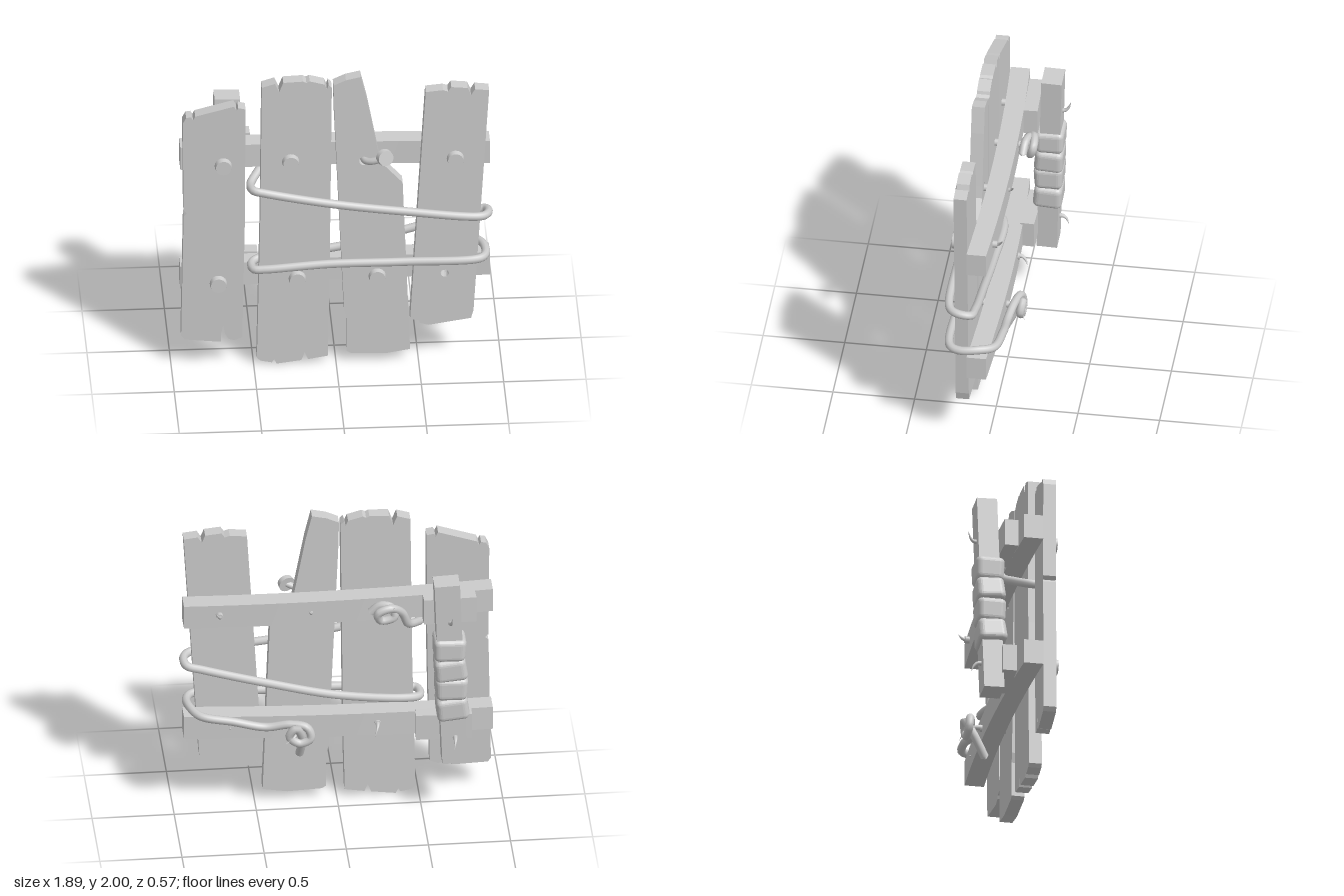
import * as THREE from 'three';
import { RoundedBoxGeometry } from 'three/addons/geometries/RoundedBoxGeometry.js';

const grey = new THREE.MeshStandardMaterial({ color: 0xcccccc, side: THREE.DoubleSide });
const V = (p) => new THREE.Vector3(...p);

function add(parent, name, geometry, position = [0, 0, 0], rotation = [0, 0, 0]) {
  const mesh = new THREE.Mesh(geometry, grey);
  mesh.name = name;
  mesh.position.set(...position);
  mesh.rotation.set(...rotation);
  parent.add(mesh);
  return mesh;
}

// Move every vertex of a geometry by a rule
function deform(geometry, rule) {
  const pos = geometry.attributes.position;
  const v = new THREE.Vector3();
  for (let i = 0; i < pos.count; i++) {
    rule(v.fromBufferAttribute(pos, i));
    pos.setXYZ(i, v.x, v.y, v.z);
  }
  geometry.computeVertexNormals();
  return geometry;
}

// Tube whose radius follows scale(t) along the path
function taperedTube(points, radius, segments, scale) {
  const curve = new THREE.CatmullRomCurve3(points.map(V), false, 'centripetal');
  const sides = 10;
  const geo = new THREE.TubeGeometry(curve, segments, radius, sides);
  const pos = geo.attributes.position;
  const v = new THREE.Vector3();
  for (let i = 0; i <= segments; i++) {
    const centre = curve.getPointAt(i / segments);
    for (let j = 0; j <= sides; j++) {
      const k = i * (sides + 1) + j;
      v.fromBufferAttribute(pos, k).sub(centre).multiplyScalar(scale(i / segments)).add(centre);
      pos.setXYZ(k, v.x, v.y, v.z);
    }
  }
  return geo;
}

// Board outlines with chipped ends, anticlockwise
const boards = [
  [[-0.94, 0.22], [-0.92, 0.195], [-0.72, 0.18], [-0.70, 0.18], [-0.70, 0.235], [-0.685, 0.29], [-0.675, 0.235],
    [-0.655, 0.2], [-0.62, 0.19], [-0.57, 0.21], [-0.555, 1.0], [-0.55, 1.81], [-0.595, 1.82], [-0.605, 1.8], [-0.62, 1.83],
    [-0.855, 1.76], [-0.868, 1.735], [-0.88, 1.755], [-0.91, 1.75], [-0.93, 1.71], [-0.925, 1.1], [-0.905, 1.08], [-0.925, 1.06]],
  [[-0.48, 0.05], [-0.46, 0.03], [-0.39, 0.015], [-0.375, 0.035], [-0.36, 0.005], [-0.21, 0.025], [-0.19, 0.08],
    [-0.17, 0.03], [-0.05, 0.05], [-0.04, 0.5], [-0.025, 1.93], [-0.045, 1.95], [-0.055, 1.92], [-0.07, 1.955],
    [-0.16, 1.98], [-0.18, 1.97], [-0.2, 1.98], [-0.32, 1.975], [-0.345, 1.91], [-0.37, 1.97], [-0.45, 1.945], [-0.46, 1.0]],
  [[0.065, 0.08], [0.09, 0.065], [0.3, 0.055], [0.45, 0.08], [0.405, 1.25], [0.27, 1.4], [0.255, 1.48], [0.19, 1.83],
    [0.15, 2.0], [0.06, 1.98], [-0.015, 1.945], [-0.01, 1.75], [0.05, 0.36], [0.065, 0.3]],
  [[0.45, 0.29], [0.5, 0.28], [0.51, 0.26], [0.56, 0.245], [0.82, 0.285], [0.835, 0.34], [0.93, 1.88], [0.845, 1.89],
    [0.82, 1.85], [0.8, 1.9], [0.7, 1.91], [0.68, 1.88], [0.65, 1.89], [0.545, 1.88]],
];
const holes = [null, null, [0.17, 1.41, 0.03], [0.66, 0.605, 0.025]];

function addBoards(group) {
  boards.forEach((outline, i) => {
    const shape = new THREE.Shape(outline.map((p) => new THREE.Vector2(...p)));
    if (holes[i]) {
      const [x, y, r] = holes[i];
      shape.holes.push(new THREE.Path().absarc(x, y, r, 0, Math.PI * 2, true));
    }
    const geo = new THREE.ExtrudeGeometry(shape, { depth: 0.08, bevelEnabled: false, curveSegments: 8 });
    // The outermost board stands off slightly at its inner edge
    if (i === 0) deform(geo, (v) => { v.z += (v.x + 0.94) * 0.06; });
    add(group, 'board' + (i + 1), geo, [0, 0, 0.12]);
  });
}

// Bowed cross bars behind the boards
function addBar(group, name, yRight, yLeft) {
  const geo = deform(new THREE.BoxGeometry(1.88, 0.155, 0.12, 12, 1, 1), (v) => {
    const t = v.x / 0.94;
    v.y += (yRight + yLeft) / 2 + t * (yLeft - yRight) / 2;
    v.z += 0.06 - 0.03 * (1 - t * t);
  });
  add(group, name, geo);
}

// Bent nail point emerging from a back surface
function addSpike(group, x, y, z, dx, dy, length = 0.06) {
  const path = [[x, y, z + 0.04], [x, y, z - length * 0.4], [x + dx * 0.4, y + dy * 0.4, z - length * 0.8], [x + dx, y + dy, z - length]];
  add(group, 'nailPoint', taperedTube(path, 0.022, 12, (t) => 1 - t));
}

function addNail(group, x, y, z) {
  add(group, 'nailHead', new THREE.CylinderGeometry(0.047, 0.053, 0.035, 20), [x, y, z + 0.017], [Math.PI / 2, 0, 0]);
  add(group, 'nailShaft', new THREE.CylinderGeometry(0.022, 0.022, 0.24, 10), [x, y, z - 0.12], [Math.PI / 2, 0, 0]);
}

export function createModel() {
  const model = new THREE.Group();
  model.name = 'plankShield';
  addBoards(model);
  addBar(model, 'upperBar', 1.415, 1.398);
  addBar(model, 'lowerBar', 0.578, 0.615);

  // Nails through boards and bars
  const nails = [[-0.685, 1.415, 0.215], [-0.275, 1.42, 0.2], [0.725, 1.41, 0.2],
    [-0.715, 0.59, 0.215], [-0.235, 0.6, 0.2], [0.25, 0.6, 0.2]];
  nails.forEach((n) => addNail(model, ...n));
  addSpike(model, 0.725, 1.41, -0.015, 0.03, 0.05);
  addSpike(model, 0.17, 1.41, -0.03, 0.02, 0.03, 0.03);
  addSpike(model, -0.275, 1.42, -0.03, -0.06, 0.06, 0.11);
  addSpike(model, -0.235, 0.6, -0.03, 0.02, -0.06, 0.06);
  addSpike(model, 0.25, 0.6, -0.03, 0.09, -0.05, 0.12);
  addSpike(model, 0.66, 0.605, -0.012, 0.01, 0.01, 0.015);

  // Half-pulled nail bent sideways
  add(model, 'bentNailShaft', taperedTube([[0.17, 1.41, 0.08], [0.175, 1.41, 0.19], [0.21, 1.42, 0.225], [0.295, 1.455, 0.25]], 0.022, 14, () => 1));
  const head = add(model, 'bentNailHead', new THREE.CylinderGeometry(0.048, 0.052, 0.035, 20), [0.295, 1.457, 0.25]);
  head.quaternion.setFromUnitVectors(new THREE.Vector3(0, 1, 0), new THREE.Vector3(0.35, 0.2, 1).normalize());

  // Grip post on two spacer blocks, leaning slightly
  add(model, 'upperSpacer', new THREE.BoxGeometry(0.32, 0.17, 0.085), [-0.67, 1.415, -0.06], [0, 0.03, 0]);
  add(model, 'lowerSpacer', new THREE.BoxGeometry(0.34, 0.17, 0.085), [-0.635, 0.59, -0.055], [0, -0.03, 0]);
  const grip = new THREE.Group();
  grip.name = 'grip';
  grip.position.set(-0.665, 1.04, -0.167);
  grip.rotation.set(-0.028, 0, -0.04);
  model.add(grip);
  add(grip, 'gripPost', new THREE.BoxGeometry(0.155, 1.28, 0.125));
  // Bulging cloth bands around the grip
  for (let i = 0; i < 4; i++) {
    const side = i % 2 ? 1 : -1;
    const band = deform(new RoundedBoxGeometry(0.195, 0.155, 0.175, 3, 0.035), (v) => {
      const flare = 1 + side * v.y * 0.5;
      v.x *= flare;
      v.z *= flare;
    });
    add(grip, 'gripWrap', band, [0, -0.25 + i * 0.14, 0.004], [0.04 * side, 0, 0.07 * side]);
  }
  addSpike(model, -0.66, 1.415, -0.235, -0.01, 0.06, 0.055);
  addSpike(model, -0.69, 0.585, -0.22, 0.01, -0.055, 0.055);

  // One rope: tied to the upper nail, laced round the boards, tied to the lower nail
  const rope = [
    [-0.18, 1.40, -0.06], [-0.25, 1.46, -0.07], [-0.32, 1.45, -0.09], [-0.33, 1.39, -0.1], [-0.25, 1.37, -0.1],
    [-0.23, 1.43, -0.12], [-0.31, 1.46, -0.115], [-0.38, 1.40, -0.07], [-0.42, 1.30, -0.03], [-0.47, 1.26, 0.04],
    [-0.515, 1.23, 0.13], [-0.5, 1.235, 0.22], [-0.44, 1.225, 0.235], [-0.05, 1.14, 0.235], [0.4, 1.07, 0.235],
    [0.88, 1.015, 0.23], [0.925, 1.01, 0.18], [0.915, 0.995, 0.1], [0.82, 0.97, 0.085], [0.45, 0.86, 0.085],
    [0, 0.745, 0.085], [-0.42, 0.70, 0.085], [-0.505, 0.685, 0.13], [-0.5, 0.685, 0.22], [-0.44, 0.69, 0.235],
    [-0.05, 0.715, 0.235], [0.4, 0.715, 0.235], [0.87, 0.72, 0.23], [0.91, 0.72, 0.17], [0.9, 0.725, 0.06],
    [0.84, 0.71, -0.03], [0.65, 0.68, -0.06], [0.45, 0.63, -0.06], [0.3, 0.655, -0.085], [0.2, 0.64, -0.11],
    [0.18, 0.57, -0.12], [0.25, 0.54, -0.12], [0.31, 0.59, -0.12], [0.27, 0.65, -0.13], [0.23, 0.56, -0.09],
    [0.23, 0.48, -0.05], [0.24, 0.39, -0.005],
  ];
  add(model, 'rope', taperedTube(rope, 0.026, 420, (t) => (t === 0 || t === 1 ? 0 : 1)));
  return model;
}
